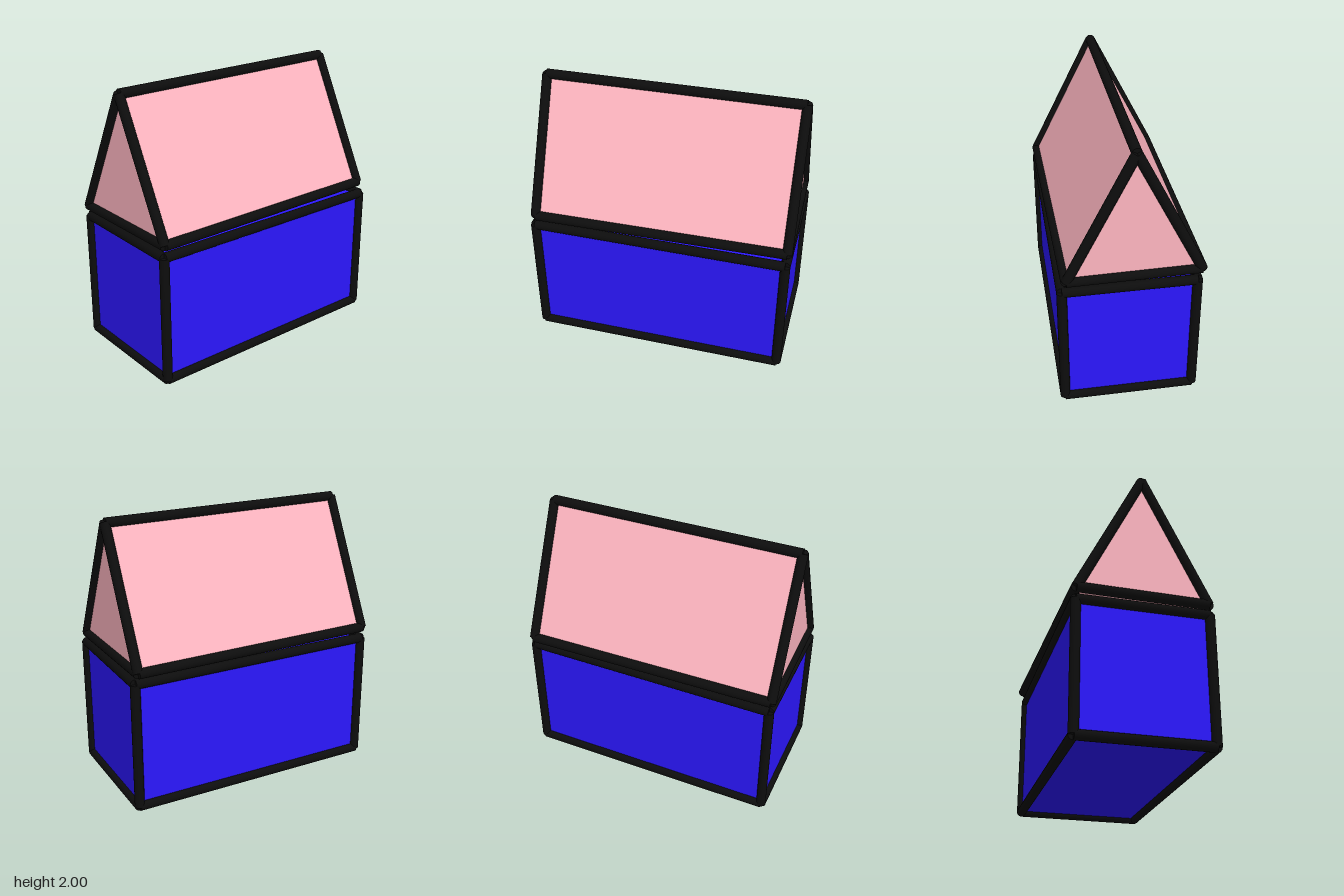
import * as THREE from 'three';

const RADIUS = 0.035;
const outline = new THREE.MeshStandardMaterial({ color: 0x0d0d0d });
const wallBlue = new THREE.MeshStandardMaterial({ color: 0x2c17ff });
const roofPink = new THREE.MeshStandardMaterial({ color: 0xffb6c1 });

// Round bar between two points
function bar(a, b, name) {
  const dir = b.clone().sub(a);
  const mesh = new THREE.Mesh(new THREE.CylinderGeometry(RADIUS, RADIUS, dir.length(), 16), outline);
  mesh.position.copy(a).add(b).multiplyScalar(0.5);
  mesh.quaternion.setFromUnitVectors(new THREE.Vector3(0, 1, 0), dir.normalize());
  mesh.name = name;
  return mesh;
}

// Prism along x from a closed [z, y] outline, with a bar on every edge
function framedPrism(profile, halfLength, material, name) {
  const group = new THREE.Group();
  group.name = name;
  const shape = new THREE.Shape(profile.map(([z, y]) => new THREE.Vector2(-z, y)));
  const geometry = new THREE.ExtrudeGeometry(shape, { depth: 2 * halfLength, bevelEnabled: false });
  geometry.translate(0, 0, -halfLength).rotateY(Math.PI / 2);
  const panels = new THREE.Mesh(geometry, material);
  panels.name = name + 'Panels';
  group.add(panels);

  const point = (x, [z, y]) => new THREE.Vector3(x, y, z);
  profile.forEach((p, i) => {
    const next = profile[(i + 1) % profile.length];
    group.add(bar(point(-halfLength, p), point(halfLength, p), name + 'LongBar'));
    for (const x of [-halfLength, halfLength]) {
      group.add(bar(point(x, p), point(x, next), name + 'EndBar'));
    }
  });
  return group;
}

export function createModel() {
  const model = new THREE.Group();
  model.name = 'house';

  // Box-shaped walls
  const walls = framedPrism(
    [[0.46, 0.035], [-0.46, 0.035], [-0.46, 0.962], [0.46, 0.962]], 0.922, wallBlue, 'walls');
  walls.position.set(0.003, 0, 0.012);

  // Gabled roof, turned very slightly
  const roof = framedPrism(
    [[0.46, 1.046], [-0.46, 1.046], [0, 1.965]], 0.92, roofPink, 'roof');
  roof.rotation.y = 0.017;
  roof.position.z = -0.003;

  model.add(walls, roof);
  return model;
}
